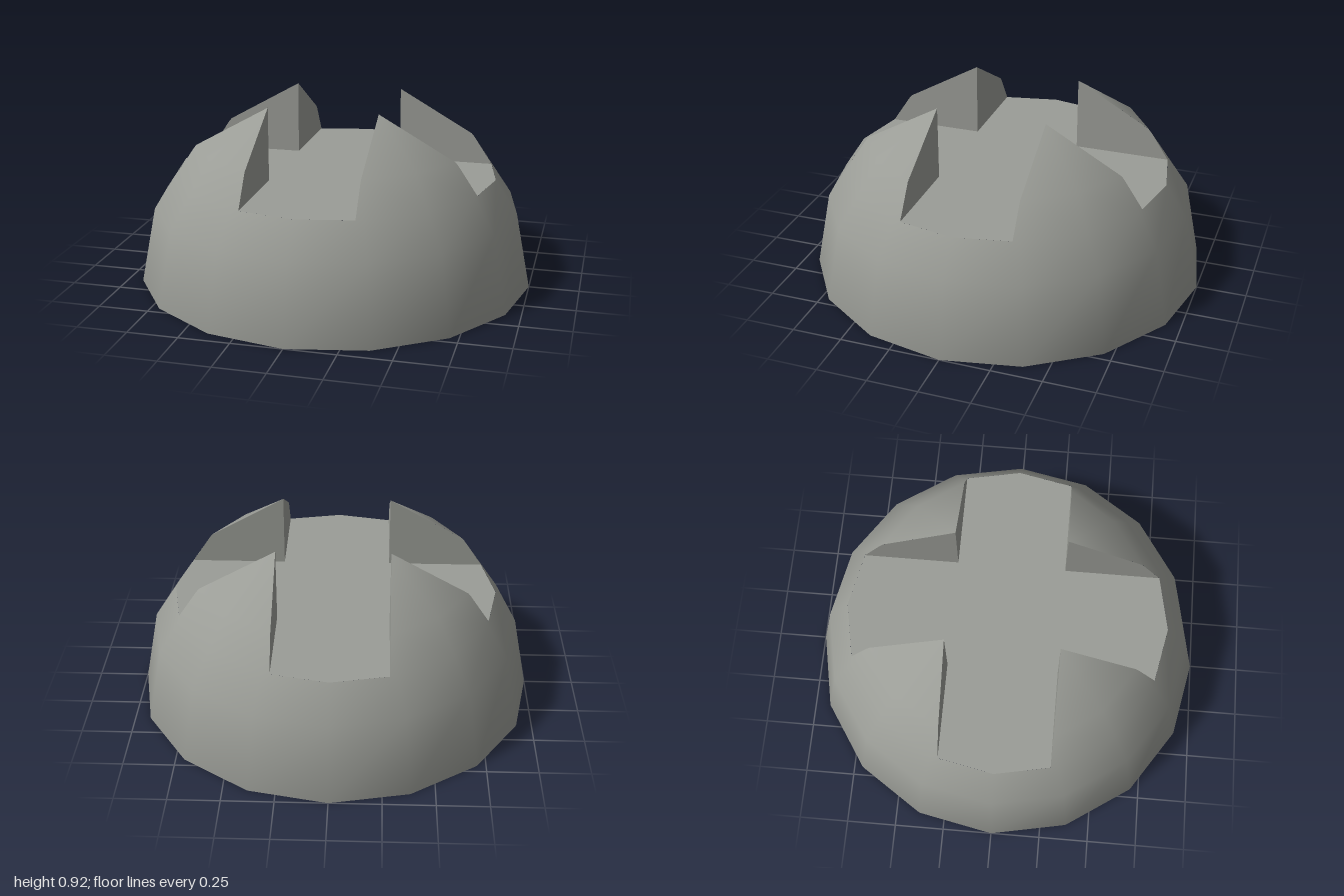
import * as THREE from 'three';

const SIDES = 16;
const SLOT = 0.275;   // half width of the cross slot
const FLOOR = 0.55;   // height of the slot floor

// Keep the part of a convex polygon where f(point) >= 0
function clip(poly, f) {
  const out = [];
  poly.forEach((p, i) => {
    const q = poly[(i + 1) % poly.length];
    const a = f(p), b = f(q);
    if (a >= 0) out.push(p);
    if ((a >= 0) !== (b >= 0)) out.push(p.clone().lerp(q, a / (a - b)));
  });
  return out;
}

// Faceted hemisphere with the cross removed, smooth spherical normals
function domeGeometry() {
  const pos = [], nor = [];
  const add = (poly) => {
    for (let i = 1; i < poly.length - 1; i++) {
      for (const p of [poly[0], poly[i], poly[i + 1]]) {
        pos.push(p.x, p.y, p.z);
        nor.push(...p.clone().normalize().toArray());
      }
    }
  };
  const step = Math.PI / 8;
  const point = (ring, side) => {
    const e = ring * step, a = (side % SIDES) * step;
    return new THREE.Vector3(Math.cos(e) * Math.cos(a), Math.sin(e), Math.cos(e) * Math.sin(a));
  };
  for (let ring = 0; ring < 3; ring++) {
    for (let s = 0; s < SIDES; s++) {
      const quad = [point(ring, s + 1), point(ring, s), point(ring + 1, s), point(ring + 1, s + 1)];
      add(clip(quad, (p) => FLOOR - p.y));
      const upper = clip(quad, (p) => p.y - FLOOR);
      for (const sx of [-1, 1]) for (const sz of [-1, 1]) {
        add(clip(clip(upper, (p) => sx * p.x - SLOT), (p) => sz * p.z - SLOT));
      }
    }
  }
  const g = new THREE.BufferGeometry();
  g.setAttribute('position', new THREE.Float32BufferAttribute(pos, 3));
  g.setAttribute('normal', new THREE.Float32BufferAttribute(nor, 3));
  return g;
}

export function createModel() {
  const grey = new THREE.MeshStandardMaterial({ color: 0x9b9d97 });
  grey.name = 'stone grey';
  const model = new THREE.Group();
  model.name = 'slottedDome';
  const add = (name, geometry) => {
    const m = new THREE.Mesh(geometry, grey);
    m.name = name;
    model.add(m);
    return m;
  };

  add('dome', domeGeometry());
  add('base', new THREE.CircleGeometry(1, SIDES).rotateX(Math.PI / 2));

  // Cross-shaped slot floor, each arm ending in a shallow point
  const arm = [[SLOT, -SLOT], [0.757, -SLOT], [0.812, 0], [0.757, SLOT]];
  const cross = [];
  for (let k = 0; k < 4; k++) {
    for (const [x, y] of arm) {
      cross.push(new THREE.Vector2(x, y).rotateAround(new THREE.Vector2(), k * Math.PI / 2));
    }
  }
  add('slotFloor', new THREE.ShapeGeometry(new THREE.Shape(cross)).rotateX(-Math.PI / 2).translate(0, FLOOR, 0));

  // Upright slot walls: a mirrored pair repeated around the four sides
  const profile = [[SLOT, FLOOR], [0.757, FLOOR], [0.664, 0.69], [0.65, 0.707], [SLOT, 0.92]];
  const walls = [1, -1].map((s) => new THREE.Shape(profile.map(([u, v]) => new THREE.Vector2(s * u, v))));
  const wallGeometry = new THREE.ShapeGeometry(walls).rotateY(-Math.PI / 2).translate(SLOT, 0, 0);
  for (let k = 0; k < 4; k++) add('slotWalls', wallGeometry).rotation.y = k * Math.PI / 2;

  return model;
}
